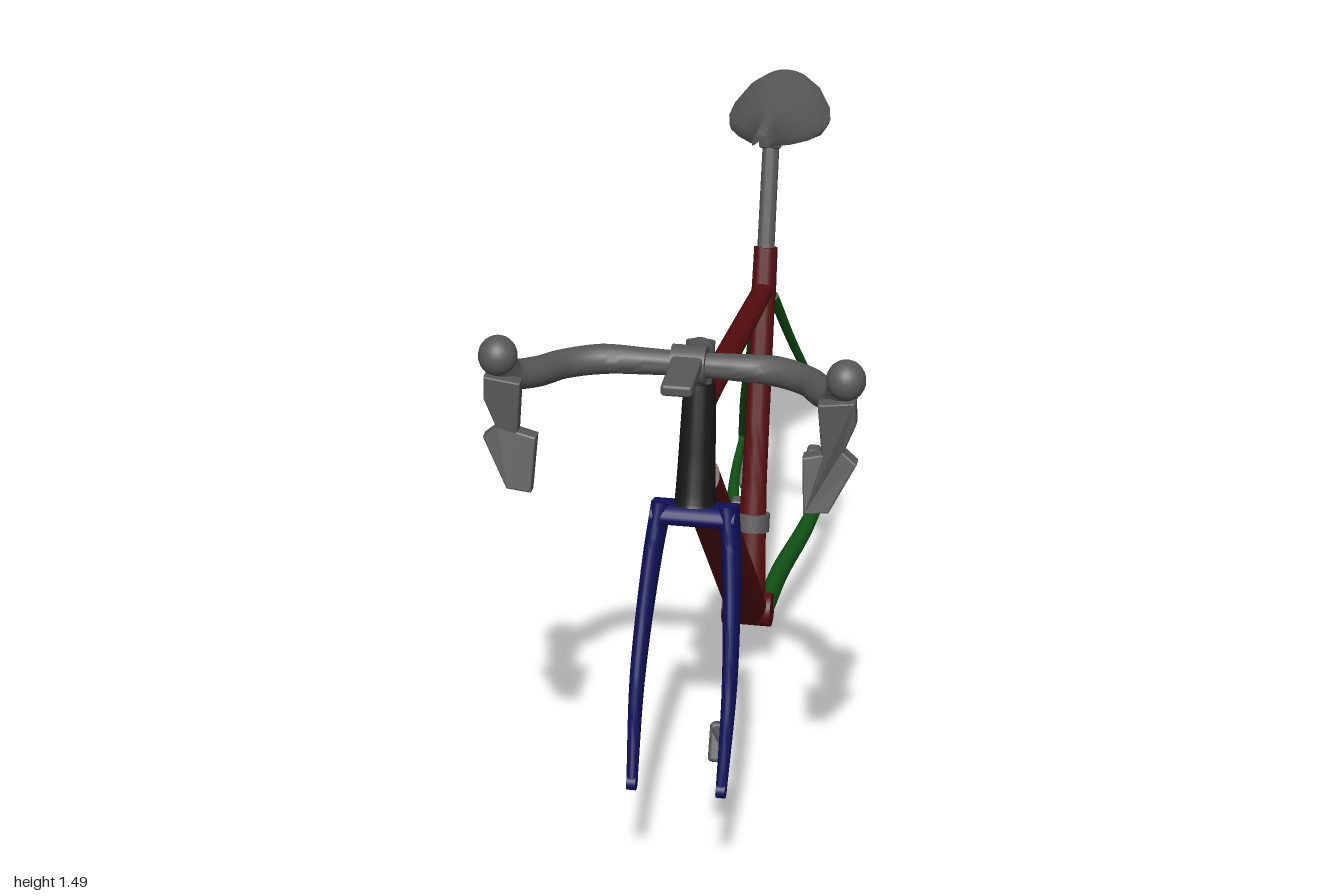
import * as THREE from 'three';
import { toCreasedNormals } from 'three/addons/utils/BufferGeometryUtils.js';
import { RoundedBoxGeometry } from 'three/addons/geometries/RoundedBoxGeometry.js';

const V = (p) => new THREE.Vector3(...p);
const X = new THREE.Vector3(1, 0, 0);
const Y = new THREE.Vector3(0, 1, 0);

// Closed skin through a list of equal-length loops of points, capped at both ends
function loft(loops, crease = 0.8) {
  const n = loops[0].length, pos = [], idx = [];
  loops.forEach((l) => l.forEach((p) => pos.push(p.x, p.y, p.z)));
  for (let i = 0; i < loops.length - 1; i++) {
    for (let j = 0; j < n; j++) {
      const a = i * n + j, b = i * n + (j + 1) % n;
      idx.push(a, b, a + n, b, b + n, a + n);
    }
  }
  [loops[0], loops[loops.length - 1]].forEach((l, e) => {
    const c = pos.length / 3, o = e * (loops.length - 1) * n;
    const m = l.reduce((s, p) => s.add(p), new THREE.Vector3()).divideScalar(n);
    pos.push(m.x, m.y, m.z);
    for (let j = 0; j < n; j++) {
      const a = o + j, b = o + (j + 1) % n;
      if (e) idx.push(c, a, b); else idx.push(c, b, a);
    }
  });
  const g = new THREE.BufferGeometry();
  g.setAttribute('position', new THREE.Float32BufferAttribute(pos, 3));
  g.setIndex(idx);
  return toCreasedNormals(g, crease);
}

// Tube along a smooth path; each radius is [along ref, across ref]
function sweep(points, radii, ref = X, steps = 24, sides = 20) {
  const curve = new THREE.CatmullRomCurve3(points.map(V));
  const loops = [];
  for (let i = 0; i <= steps; i++) {
    const u = i / steps, f = u * (radii.length - 1);
    const k = Math.min(Math.floor(f), radii.length - 2);
    const ra = THREE.MathUtils.lerp(radii[k][0], radii[k + 1][0], f - k);
    const rb = THREE.MathUtils.lerp(radii[k][1], radii[k + 1][1], f - k);
    const c = curve.getPoint(u), t = curve.getTangent(u);
    const s = ref.clone().addScaledVector(t, -t.dot(ref)).normalize();
    const w = t.clone().cross(s);
    loops.push(Array.from({ length: sides }, (_, j) => {
      const a = (j / sides) * Math.PI * 2;
      return c.clone().addScaledVector(s, ra * Math.cos(a)).addScaledVector(w, rb * Math.sin(a));
    }));
  }
  return loft(loops);
}

const round = (...r) => r.map((v) => [v, v]);

// Flat plate with a side outline of [z, y] points
function plate(outline, x, thick) {
  const shape = new THREE.Shape(outline.map(([z, y]) => new THREE.Vector2(z, y)));
  const g = new THREE.ExtrudeGeometry(shape, { depth: thick, bevelEnabled: false });
  return g.translate(0, 0, -thick / 2).rotateY(-Math.PI / 2).translate(x, 0, 0);
}

// Cylinder lying along x
const axle = (r, len, x, y, z) =>
  new THREE.CylinderGeometry(r, r, len, 24).rotateZ(Math.PI / 2).translate(x, y, z);
const block = (w, h, d, x, y, z, tilt = 0) =>
  new RoundedBoxGeometry(w, h, d, 3, Math.min(w, h, d) * 0.3).rotateX(tilt).translate(x, y, z);

export function createModel() {
  const bike = new THREE.Group();
  bike.name = 'bicycleFrameset';
  const mat = (name, color) => {
    const m = new THREE.MeshStandardMaterial({ color });
    m.name = name;
    return m;
  };
  const red = mat('frameRed', 0x560d0f), green = mat('stayGreen', 0x0f5214);
  const blue = mat('forkBlue', 0x10105c), black = mat('headBlack', 0x171717);
  const grey = mat('componentGrey', 0x585858);
  const add = (name, geo, material) => {
    const m = new THREE.Mesh(geo, material);
    m.name = name;
    bike.add(m);
    return m;
  };

  // Main triangle
  add('headTube', sweep([[0, 0.93, 0.635], [0, 1.21, 0.56]],
    [[0.05, 0.062], [0.044, 0.05], [0.038, 0.043]]), black);
  add('downTube', sweep([[0, 0.975, 0.585], [0, 0.215, -0.125]], [[0.05, 0.055], [0.055, 0.05]]), red);
  add('topTube', sweep([[0, 1.148, 0.54], [0, 1.02, -0.4]], [[0.035, 0.024], [0.028, 0.021]]), red);
  add('seatTube', sweep([[0, 0.2, -0.15], [0, 1.1, -0.425]], [[0.05, 0.038], [0.033, 0.031], [0.03, 0.027]]), red);
  add('seatCollar', sweep([[0, 1.0, -0.395], [0, 1.125, -0.433]], round(0.033, 0.031)), red);
  add('bottomBracketShell', axle(0.045, 0.13, 0, 0.2, -0.145), red);

  // Fork
  add('forkCrown', sweep([[-0.1, 0.905, 0.64], [0.1, 0.905, 0.64]], [[0.027, 0.045], [0.027, 0.045]], Y), blue);
  for (const s of [-1, 1]) {
    add('forkBlade', sweep([[s * 0.08, 0.925, 0.63], [s * 0.095, 0.8, 0.685], [s * 0.11, 0.55, 0.805],
      [s * 0.107, 0.31, 0.912]], [[0.024, 0.05], [0.022, 0.042], [0.018, 0.03], [0.013, 0.016]]), blue);
    add('forkDropout', axle(0.018, 0.022, s * 0.107, 0.318, 0.91), blue);

    // Rear stays
    add('seatStay', sweep([[s * 0.025, 1.0, -0.402], [s * 0.055, 0.8, -0.55], [s * 0.108, 0.53, -0.75],
      [s * 0.138, 0.325, -0.9]], round(0.014, 0.011, 0.012)), green);
    add('chainStay', sweep([[s * 0.045, 0.2, -0.17], [s * 0.06, 0.22, -0.32], [s * 0.1, 0.255, -0.5],
      [s * 0.128, 0.29, -0.7], [s * 0.137, 0.322, -0.91]],
    [[0.024, 0.035], [0.024, 0.032], [0.022, 0.027], [0.014, 0.02], [0.01, 0.017]]), green);
    add('rearDropout', axle(0.022, 0.02, s * 0.137, 0.32, -0.905), green);
  }
  add('derailleurHanger', sweep([[-0.137, 0.32, -0.905], [-0.13, 0.25, -0.955]], round(0.012, 0.01)), green);

  // Stem, spacers and head unit
  add('spacers', sweep([[0, 1.2, 0.565], [0, 1.27, 0.555]], round(0.03, 0.028)), grey);
  add('stemClamp', sweep([[0, 1.245, 0.565], [0, 1.31, 0.545]], round(0.036, 0.034)), grey);
  add('stem', sweep([[0, 1.28, 0.515], [0, 1.29, 0.57], [0, 1.32, 0.7]], round(0.02, 0.033, 0.03, 0.033)), grey);
  add('barClamp', axle(0.044, 0.08, 0, 1.32, 0.695), grey);
  add('headUnit', block(0.072, 0.028, 0.17, 0, 1.335, 0.78, 0.05), grey);

  // Handlebar: one sweep from hood to hood
  const half = [[0.1, 1.32, 0.695], [0.2, 1.32, 0.7], [0.28, 1.325, 0.75], [0.325, 1.34, 0.83],
    [0.37, 1.365, 0.895], [0.388, 1.415, 0.925]];
  const barPath = [...half.map(([x, y, z]) => [-x, y, z]).reverse(), [0, 1.32, 0.695], ...half];
  add('handlebar', sweep(barPath,
    round(0.038, 0.034, 0.035, 0.034, 0.035, 0.031, 0.028, 0.031, 0.035, 0.034, 0.035, 0.034, 0.038), Y, 72), grey);
  const leverOutline = [[0.335, 1.37], [0.41, 1.38], [0.412, 1.33], [0.385, 1.26], [0.415, 1.235],
    [0.36, 1.13], [0.31, 1.125], [0.303, 1.24], [0.345, 1.25]];
  for (const s of [-1, 1]) {
    add('brakeHood', new THREE.SphereGeometry(1, 24, 16).scale(0.044, 0.046, 0.045)
      .translate(s * 0.388, 1.42, 0.925), grey);
    const pts = leverOutline.map(([x, y]) => new THREE.Vector2(s * x, y));
    const lever = new THREE.ExtrudeGeometry(new THREE.Shape(pts),
      { depth: 0.024, bevelThickness: 0.005, bevelSize: 0.004, bevelSegments: 2 });
    const p = lever.attributes.position;
    for (let i = 0; i < p.count; i++) {
      const drop = Math.max(0, 1.25 - p.getY(i));
      p.setZ(i, p.getZ(i) + 0.935 + 0.28 * drop);
    }
    lever.computeVertexNormals();
    add('shiftLever', lever, grey);
  }

  // Seat post and rails
  add('seatPost', sweep([[0, 1.09, -0.422], [0, 1.38, -0.512]], round(0.023, 0.022)), grey);
  add('postHead', block(0.06, 0.035, 0.06, 0, 1.395, -0.517, 0.1), grey);
  for (const s of [-1, 1]) {
    add('saddleRail', sweep([[s * 0.012, 1.46, -0.39], [s * 0.024, 1.415, -0.47], [s * 0.025, 1.412, -0.56],
      [s * 0.05, 1.45, -0.7]], round(0.007, 0.007), X, 20, 8), grey);
  }

  // Saddle shell: arched sections of [z, half width, top, side drop]
  const sections = [[-0.34, 0.014, 1.474, 0.012], [-0.355, 0.026, 1.48, 0.028], [-0.42, 0.033, 1.48, 0.05],
    [-0.49, 0.055, 1.476, 0.07], [-0.55, 0.095, 1.474, 0.077], [-0.6, 0.124, 1.474, 0.079],
    [-0.66, 0.135, 1.477, 0.077], [-0.71, 0.127, 1.482, 0.066], [-0.76, 0.092, 1.488, 0.036],
    [-0.785, 0.05, 1.488, 0.014]];
  add('saddle', loft(sections.map(([z, w, top, drop]) => {
    const arch = (off) => Array.from({ length: 17 }, (_, j) => {
      const u = j / 8 - 1;
      return new THREE.Vector3(u * w * (1 - off * 3), top - drop * Math.abs(u) ** 2.2 - off, z);
    });
    return [...arch(0), ...arch(0.014).reverse()].reverse();
  }).reverse(), 1.0), grey);

  // Front derailleur on the seat tube
  add('frontDerailleurClamp', sweep([[0, 0.4, -0.212], [0, 0.445, -0.226]], round(0.046, 0.046)), grey);
  add('frontDerailleurBody', block(0.05, 0.065, 0.06, -0.045, 0.42, -0.235, -0.2), grey);
  add('frontDerailleurCage', plate([[-0.195, 0.4], [-0.21, 0.375], [-0.265, 0.385], [-0.275, 0.42],
    [-0.25, 0.44]], -0.068, 0.01), grey);
  add('frontDerailleurLink', block(0.03, 0.03, 0.04, -0.045, 0.46, -0.245), grey);

  // Disc brake calipers
  add('frontCaliper', block(0.034, 0.095, 0.045, 0.075, 0.37, 0.782, -0.45), grey);
  add('frontCaliperMount', sweep([[0.1, 0.415, 0.85], [0.078, 0.41, 0.795]], round(0.01, 0.012)), grey);
  add('rearCaliper', block(0.04, 0.065, 0.042, 0.09, 0.352, -0.752, 0.1), grey);
  add('rearCaliperMount', block(0.045, 0.025, 0.05, 0.105, 0.315, -0.752), grey);

  // Rear derailleur
  add('rearDerailleurBody', plate([[-0.81, 0.215], [-0.825, 0.255], [-0.855, 0.27], [-0.94, 0.258], [-1.0, 0.24],
    [-0.965, 0.208], [-0.93, 0.222], [-0.905, 0.18], [-0.855, 0.178], [-0.835, 0.21]], -0.117, 0.04), grey);
  const cage = [[-0.81, 0.2], [-0.85, 0.185], [-0.877, 0.1], [-0.92, 0.01], [-0.895, 0], [-0.84, 0.07], [-0.823, 0.13]];
  for (const x of [-0.122, -0.092]) add('derailleurCage', plate(cage, x, 0.008), grey);
  for (const [y, z] of [[0.15, -0.845], [0.055, -0.876]]) {
    add('jockeyWheel', axle(0.027, 0.016, -0.107, y, z), grey);
  }
  return bike;
}
